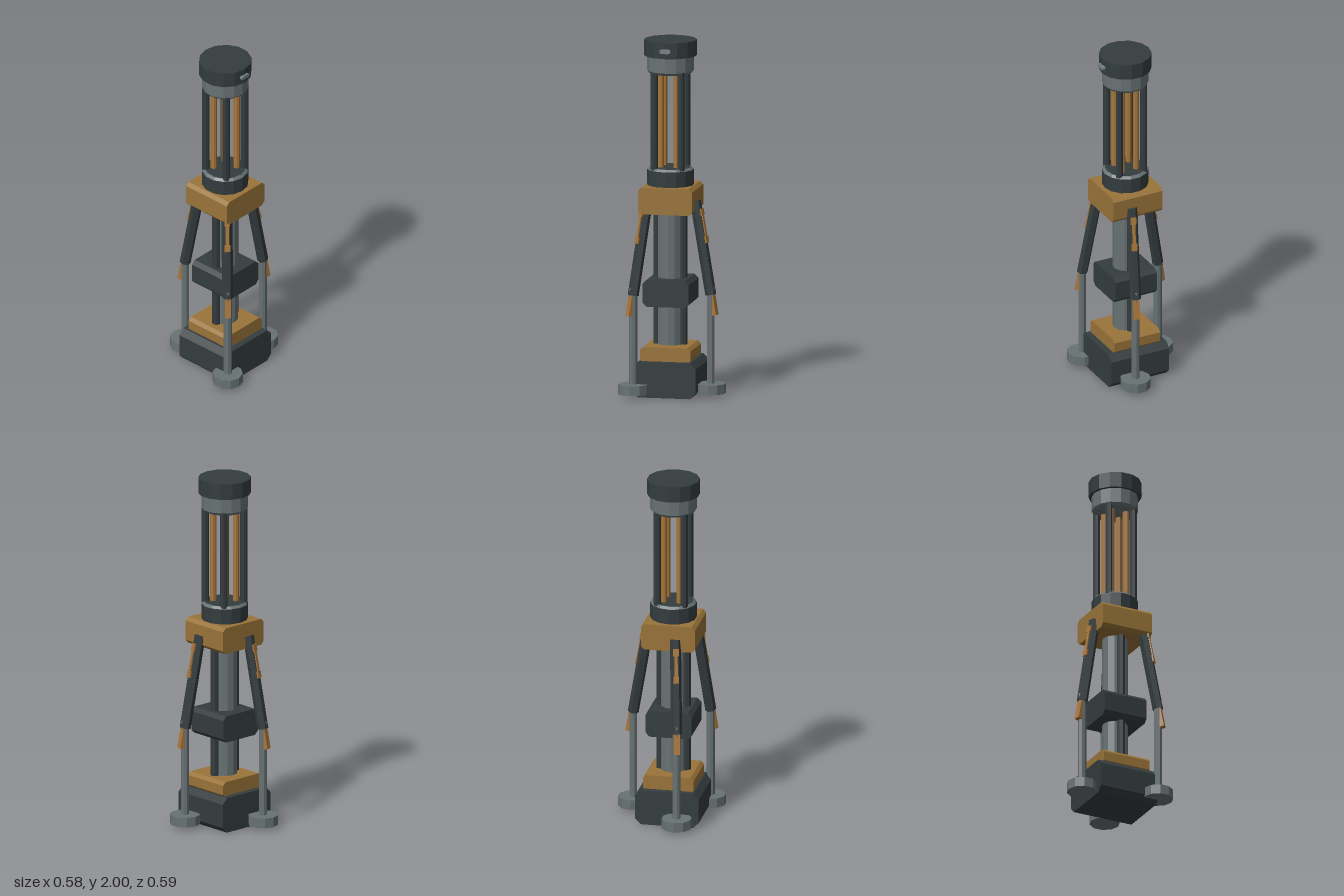
import * as THREE from 'three';

const mat = (name, color) => {
  const m = new THREE.MeshStandardMaterial({ color, flatShading: true });
  m.name = name;
  return m;
};

export function createModel() {
  const dark = mat('dark slate', 0x343c3e);
  const grey = mat('steel grey', 0x687274);
  const ochre = mat('ochre', 0x9a7439);
  const copper = mat('copper', 0xa8763a);
  const pale = mat('pale steel', 0x76838a);

  const root = new THREE.Group();
  root.name = 'tripodColumn';

  // everything except the feet shares one off-centre vertical axis
  const body = new THREE.Group();
  body.name = 'body';
  body.position.set(-0.035, 0, 0.03);
  root.add(body);

  const add = (parent, name, geo, material, x = 0, y = 0, z = 0) => {
    const m = new THREE.Mesh(geo, material);
    m.name = name;
    m.position.set(x, y, z);
    parent.add(m);
    return m;
  };

  // upright prism between two heights
  const post = (parent, name, r0, r1, y0, y1, sides, material, x = 0, z = 0) =>
    add(parent, name, new THREE.CylinderGeometry(r1, r0, y1 - y0, sides), material, x, (y0 + y1) / 2, z);

  // square block whose lengthwise edges are chamfered
  const block = (name, half, y0, y1, c, material) => {
    const s = new THREE.Shape();
    s.moveTo(-half + c, y0);
    s.lineTo(half - c, y0);
    s.lineTo(half, y0 + c);
    s.lineTo(half, y1 - c);
    s.lineTo(half - c, y1);
    s.lineTo(-half + c, y1);
    s.lineTo(-half, y1 - c);
    s.lineTo(-half, y0 + c);
    s.closePath();
    const g = new THREE.ExtrudeGeometry(s, { depth: half * 2, bevelEnabled: false });
    add(body, name, g, material, 0, 0, -half);
  };

  // base and column
  block('baseBlock', 0.181, 0, 0.2, 0.032, dark);
  block('basePlate', 0.144, 0.19, 0.28, 0.018, ochre);
  post(body, 'column', 0.072, 0.072, 0.27, 1.04, 12, grey);
  for (const s of [-1, 1]) post(body, 'sideRail', 0.025, 0.025, 0.27, 1.04, 8, dark, s * 0.073);
  block('middleBlock', 0.131, 0.505, 0.657, 0.022, dark);
  block('shoulderBlock', 0.154, 1.03, 1.18, 0.019, ochre);

  // lower collar
  post(body, 'lowerCollar', 0.13, 0.13, 1.175, 1.267, 14, dark);
  post(body, 'collarBevel', 0.13, 0.118, 1.267, 1.28, 14, grey);
  post(body, 'collarTop', 0.113, 0.113, 1.27, 1.282, 14, dark);

  // open cage of rods
  for (const sx of [-1, 1]) for (const sz of [-1, 1]) {
    post(body, 'cageRod', 0.021, 0.021, 1.27, 1.83, 8, dark, sx * 0.076, sz * 0.076);
    post(body, 'innerRod', 0.018, 0.018, 1.27, 1.83, 8, copper, sx * 0.045, sz * 0.045);
  }

  // head
  post(body, 'headBevel', 0.117, 0.13, 1.81, 1.825, 14, grey);
  post(body, 'headCollar', 0.13, 0.13, 1.825, 1.915, 14, grey);
  post(body, 'headCap', 0.147, 0.147, 1.91, 2, 14, dark);
  const badge = new THREE.Shape();
  badge.moveTo(-0.031, 0.006);
  badge.lineTo(-0.02, 0.012);
  badge.lineTo(0.02, 0.012);
  badge.lineTo(0.031, 0.006);
  badge.lineTo(0.031, -0.006);
  badge.lineTo(0.02, -0.012);
  badge.lineTo(-0.02, -0.012);
  badge.lineTo(-0.031, -0.006);
  add(body, 'headPlate', new THREE.ExtrudeGeometry(badge, { depth: 0.018, bevelEnabled: false }),
    pale, 0, 1.952, 0.138);

  // three legs, local x pointing outwards
  const top = new THREE.Vector2(0.155, 1.1), bottom = new THREE.Vector2(0.25, 0.575);
  const len = top.distanceTo(bottom);
  const tilt = Math.atan2(bottom.x - top.x, top.y - bottom.y);
  for (let i = 0; i < 3; i++) {
    const angle = THREE.MathUtils.degToRad(14.3 + i * 120);
    const leg = new THREE.Group();
    leg.name = 'leg';
    leg.rotation.y = -angle;
    body.add(leg);

    post(leg, 'lowerLeg', 0.023, 0.023, 0.06, 0.62, 8, grey, 0.25);
    const foot = post(leg, 'foot', 0.085, 0.085, 0.02, 0.075, 10, grey, 0.251);
    foot.rotation.y = angle;

    // tilted upper leg, its origin at the lower end
    const upper = new THREE.Group();
    upper.name = 'upperLeg';
    upper.position.set(bottom.x, bottom.y, 0);
    upper.rotation.z = tilt;
    leg.add(upper);
    post(upper, 'upperTube', 0.031, 0.031, 0, len, 6, dark);
    add(upper, 'legTongue', new THREE.BoxGeometry(0.036, 0.17, 0.034), copper, 0.002, -0.032, 0);
    add(upper, 'stripMiddle', new THREE.BoxGeometry(0.012, 0.15, 0.018), copper, 0.028, 0.39, 0);
    for (const y of [0.31, 0.465])
      add(upper, 'stripEnd', new THREE.BoxGeometry(0.014, 0.04, 0.032), copper, 0.028, y, 0);
  }
  return root;
}
